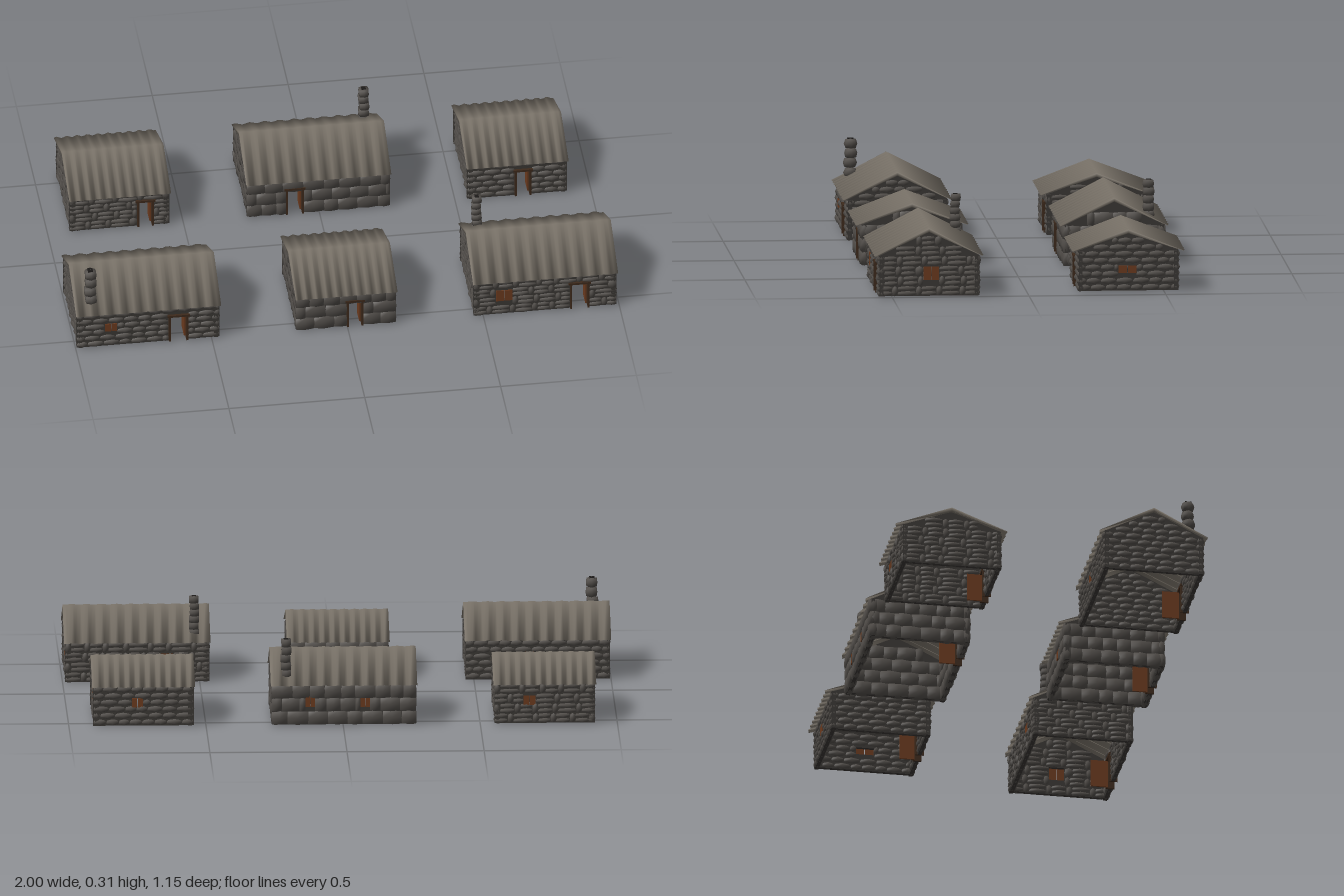
import * as THREE from 'three';
import { mergeVertices, mergeGeometries } from 'three/addons/utils/BufferGeometryUtils.js';

const mat = (name, color, extra = {}) => {
  const m = new THREE.MeshStandardMaterial({ color, ...extra });
  m.name = name;
  return m;
};

export function createModel() {
  const stoneMat = mat('stone', 0x514d49);
  const mortarMat = mat('mortar', 0x3a3734);
  const roofMat = mat('roof slate', 0x7a7369);
  const woodMat = mat('shutter wood', 0x6b3a1e);
  const frameMat = mat('dark timber', 0x3d2a1c);
  const sootMat = mat('soot', 0x1c1a19);

  let seed = 7;
  const rnd = () => (seed = (seed * 16807) % 2147483647) / 2147483647;

  // One pillow-shaped stone: edges and corners of a box pulled in
  const stone = (w, h, d, round) => {
    const raw = new THREE.BoxGeometry(1, 1, 1, 2, 2, 2);
    raw.deleteAttribute('uv');
    raw.deleteAttribute('normal');
    const g = mergeVertices(raw);
    const p = g.attributes.position;
    for (let i = 0; i < p.count; i++) {
      const c = [p.getX(i), p.getY(i), p.getZ(i)];
      const n = c.filter((v) => Math.abs(v) > 0.1).length - 1;
      const flat = 1 - n * round * 0.22, deep = 1 - n * round * 0.28;
      const j = () => 1 + (rnd() - 0.5) * 0.08;
      p.setXYZ(i, c[0] * w * (1 - n * round * 0.1) * j(), c[1] * h * flat * j(), c[2] * d * deep * j());
    }
    g.computeVertexNormals();
    return g;
  };

  const add = (parent, name, geo, material, x = 0, y = 0, z = 0) => {
    const m = new THREE.Mesh(geo, material);
    m.name = name;
    m.position.set(x, y, z);
    parent.add(m);
    return m;
  };

  // Stone bond: course height, stone length, roundness
  const bonds = {
    cobble: { h: 0.0265, w: 0.052, round: 1 },
    ashlar: { h: 0.046, w: 0.062, round: 0.4 },
    woven: { h: 0.034, w: 0.058, round: 0.9 },
  };

  // Wall in local u (along), y, and depth; openings are {u, y, w, h}
  function wall(name, half, eave, apex, bond, openings, door) {
    const g = new THREE.Group();
    g.name = name;
    const holes = door ? [...openings, door] : openings;
    const halfAt = (y) => (y <= eave || apex <= eave ? half : Math.max(0, half * (apex - y) / (apex - eave)));

    // Mortar core with cut openings
    const s = new THREE.Shape();
    s.moveTo(-half, 0);
    if (door) {
      s.lineTo(door.u - door.w / 2, 0);
      s.lineTo(door.u - door.w / 2, door.h);
      s.lineTo(door.u + door.w / 2, door.h);
      s.lineTo(door.u + door.w / 2, 0);
    }
    s.lineTo(half, 0);
    s.lineTo(half, eave);
    if (apex > eave) s.lineTo(0, apex);
    s.lineTo(-half, eave);
    for (const o of openings) {
      const r = new THREE.Path();
      r.moveTo(o.u - o.w / 2, o.y - o.h / 2);
      r.lineTo(o.u - o.w / 2, o.y + o.h / 2);
      r.lineTo(o.u + o.w / 2, o.y + o.h / 2);
      r.lineTo(o.u + o.w / 2, o.y - o.h / 2);
      s.holes.push(r);
    }
    add(g, 'mortarCore', new THREE.ExtrudeGeometry(s, { depth: 0.014, bevelEnabled: false }), mortarMat, 0, 0, -0.007);

    // Courses of stones, skipping the openings
    const { h, w, round } = bonds[bond];
    const parts = [];
    const put = (u, y, sw, sh) => parts.push(
      stone(sw * 1.05, sh * 1.08, 0.026 + rnd() * 0.008, round).translate(u, y, 0));
    const top = Math.max(eave, apex - 0.008);
    const rows = Math.round(eave / h), rh = eave / rows;
    for (let r = 0, y = rh / 2; y + rh * 0.3 < top; r++, y += rh) {
      const lim = halfAt(y + rh * 0.35);
      const cuts = holes
        .filter((o) => Math.abs(y - o.y) < o.h / 2 + rh * 0.2)
        .map((o) => [o.u - o.w / 2, o.u + o.w / 2])
        .sort((a, b) => a[0] - b[0]);
      let from = -lim;
      for (const [a, b] of [...cuts, [lim, lim]]) {
        let u = from, k = r;
        while (a - u > 0.006) {
          const upright = bond === 'woven' && k % 2;
          let sw = upright ? 0.02 : w * (0.75 + rnd() * 0.5);
          if (u === from && r % 2 && !upright) sw *= 0.55;
          if (a - u - sw < 0.014) sw = a - u;
          if (bond === 'woven' && !upright) {
            put(u + sw / 2, y - rh / 4, sw, rh / 2);
            put(u + sw / 2, y + rh / 4, sw, rh / 2);
          } else put(u + sw / 2, y, sw, rh);
          u += sw;
          k++;
        }
        from = b;
      }
    }
    add(g, 'stones', mergeGeometries(parts), stoneMat);

    // Paired shutters
    for (const o of openings) for (const sd of [-1, 1]) {
      add(g, 'shutter', new THREE.BoxGeometry(o.w * 0.46, o.h, 0.006), woodMat, o.u + sd * o.w * 0.26, o.y, 0.008);
    }
    // Door frame and leaf standing open inwards
    if (door) {
      for (const sd of [-1, 1]) {
        add(g, 'doorJamb', new THREE.BoxGeometry(0.007, door.h, 0.032), frameMat, door.u + sd * (door.w / 2 - 0.003), door.h / 2, 0);
      }
      add(g, 'doorLintel', new THREE.BoxGeometry(door.w + 0.012, 0.008, 0.034), frameMat, door.u, door.h, 0);
      add(g, 'doorLeaf', new THREE.BoxGeometry(0.006, door.h - 0.006, door.w * 0.9), woodMat,
        door.u + door.w / 2 - 0.009, door.h / 2, -door.w * 0.45 - 0.01);
    }
    return g;
  }

  // Thin gabled roof, rounded over the ridge with rippled eaves
  function roof(len, half, eave, apex) {
    const n = 40, pos = [], idx = [];
    for (let i = 0; i <= n; i++) {
      const x = (i / n - 0.5) * len, wob = 0.003 * Math.sin(i * 1.55);
      pos.push(x, eave + wob * 0.6, half + wob, x, apex + wob * 0.5, 0,
        x, eave + wob * 0.6, -half - wob, x, apex - 0.014, 0);
      if (i < n) for (let j = 0; j < 4; j++) {
        const a = i * 4 + j, d = i * 4 + (j + 1) % 4;
        idx.push(a, a + 4, d + 4, a, d + 4, d);
      }
    }
    const e = n * 4;
    idx.push(0, 1, 3, 1, 2, 3, e, e + 3, e + 1, e + 1, e + 3, e + 2);
    const g = new THREE.BufferGeometry();
    g.setAttribute('position', new THREE.Float32BufferAttribute(pos, 3));
    g.setIndex(idx);
    g.computeVertexNormals();
    return g;
  }

  // Stacked stone chimney with a sooty flue
  function chimney({ x, z, w, d, courses, round, base }) {
    const g = new THREE.Group();
    g.name = 'chimney';
    const h = (0.308 - base) / courses, parts = [];
    for (let i = 0; i < courses; i++) {
      const k = 0.92 + rnd() * 0.16;
      parts.push(stone(w * k, h * 1.12, d * k, round)
        .translate((rnd() - 0.5) * 0.004, base + h * (i + 0.5), (rnd() - 0.5) * 0.004));
    }
    add(g, 'chimneyStones', mergeGeometries(parts), stoneMat);
    add(g, 'flue', new THREE.BoxGeometry(w * 0.45, 0.006, d * 0.45), sootMat, 0, 0.307, 0);
    g.position.set(x, 0, z);
    return g;
  }

  // Windows are [position along wall, y, w, h] in world x (front, back) or z (gables)
  const houses = [
    { name: 'cobbleLonghouse', x: -0.733, z: 0.365, big: true, bond: 'cobble', door: [-0.622, 0.07],
      front: [[-0.87, 0.08, 0.045, 0.032]], back: [[-0.7, 0.085, 0.04, 0.035]],
      chimney: { x: -0.94, z: 0.5, w: 0.042, d: 0.05, courses: 4, round: 0.8, base: 0.165 } },
    { name: 'ashlarCottage', x: -0.005, z: 0.363, bond: 'ashlar', door: [0.028, 0.06],
      back: [[-0.04, 0.085, 0.035, 0.035]] },
    { name: 'wovenLonghouse', x: 0.728, z: 0.365, big: true, bond: 'woven', door: [0.855, 0.07],
      front: [[0.577, 0.08, 0.06, 0.045]], back: [[0.62, 0.085, 0.045, 0.04]], right: [[0.357, 0.083, 0.058, 0.05]],
      chimney: { x: 0.52, z: 0.232, w: 0.034, d: 0.037, courses: 6, round: 0.5, base: 0.16 } },
    { name: 'wovenCottage', x: -0.735, z: -0.37, bond: 'woven', door: [-0.64, 0.06],
      back: [[-0.68, 0.085, 0.045, 0.035]] },
    { name: 'ashlarLonghouse', x: -0.003, z: -0.37, big: true, bond: 'ashlar', door: [-0.09, 0.065],
      back: [[0.12, 0.085, 0.035, 0.04], [-0.08, 0.085, 0.035, 0.04]],
      chimney: { x: 0.207, z: -0.5, w: 0.036, d: 0.042, courses: 5, round: 0.5, base: 0.165 } },
    { name: 'cobbleCottage', x: 0.728, z: -0.37, bond: 'cobble', door: [0.75, 0.06],
      back: [[0.75, 0.085, 0.04, 0.035]], right: [[-0.367, 0.078, 0.066, 0.027]] },
  ];

  const model = new THREE.Group();
  model.name = 'stoneVillage';
  for (const o of houses) {
    const g = new THREE.Group();
    g.name = o.name;
    const len = o.big ? 0.534 : 0.375, half = o.big ? 0.198 : 0.205;
    const eave = 0.147, apex = o.big ? 0.25 : 0.226;
    const hx = len / 2 - 0.018, hz = 0.174;
    const wins = (list, c, sign) => (list || []).map(([p, y, w, h]) => ({ u: (p - c) * sign, y, w, h }));
    const door = { u: o.door[0] - o.x, y: 0.055, w: o.door[1], h: 0.11 };
    const sides = [
      ['frontWall', 0, hx + 0.014, eave, wins(o.front, o.x, 1), door],
      ['backWall', Math.PI, hx + 0.014, eave, wins(o.back, o.x, -1)],
      ['leftGable', Math.PI / 2, hz + 0.01, apex - 0.012, wins(o.right, o.z, -1)],
      ['rightGable', -Math.PI / 2, hz + 0.01, apex - 0.012, []],
    ];
    for (const [name, turn, h, top, list, dr] of sides) {
      const wl = wall(name, h, eave, top, o.bond, list, dr);
      const out = name.endsWith('Gable') ? hx : hz;
      wl.rotation.y = turn;
      wl.position.set(Math.sin(turn) * out, 0, Math.cos(turn) * out);
      g.add(wl);
    }
    add(g, 'roof', roof(len, half, eave, apex), roofMat);
    g.position.set(o.x, 0, o.z);
    model.add(g);
    if (o.chimney) model.add(chimney(o.chimney));
  }
  return model;
}
